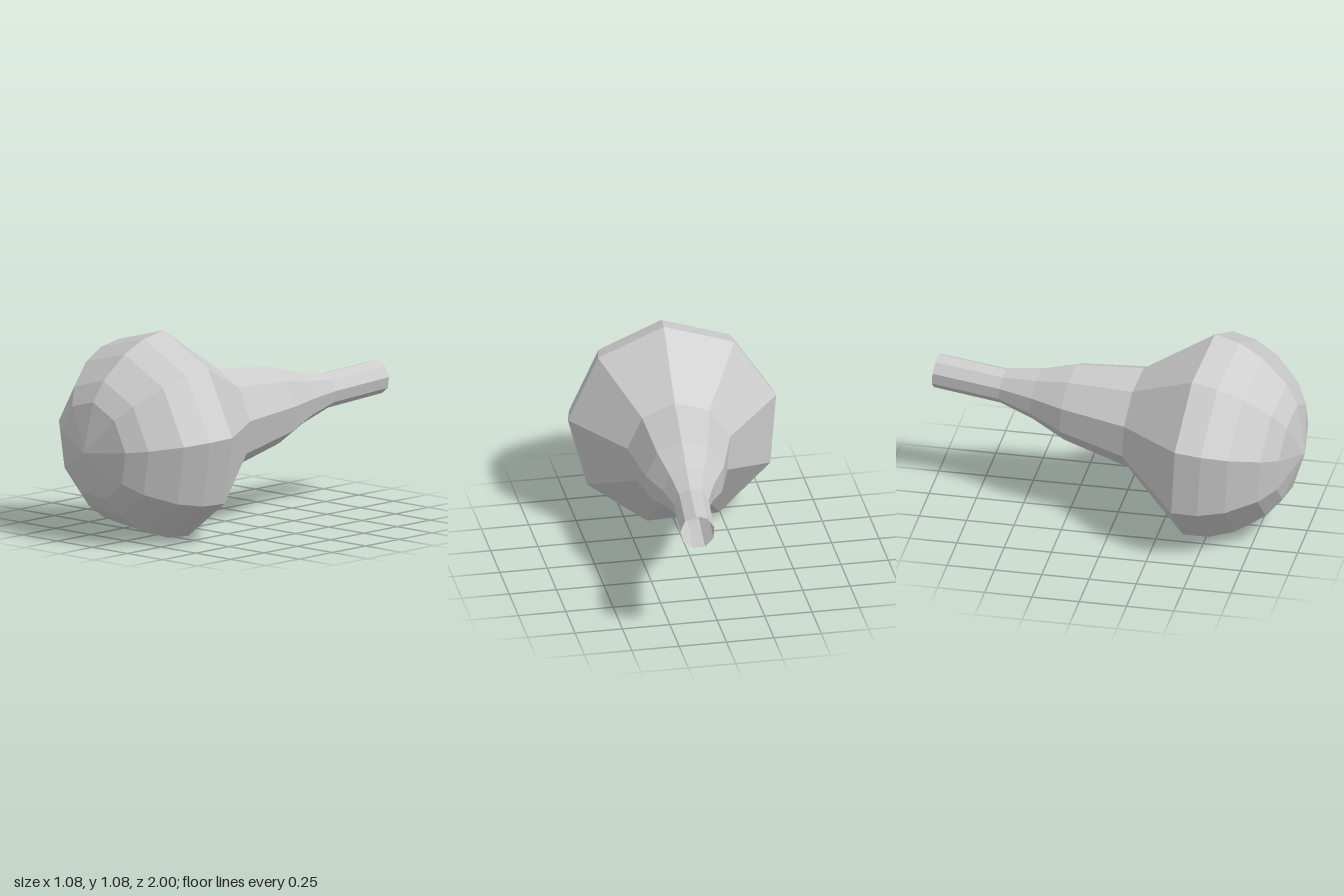
import * as THREE from 'three';

export function createModel() {
  const group = new THREE.Group();
  group.name = 'bulbWithNeck';

  // Profile from the closed rounded tip to the open neck: [radius, distance along axis]
  const profile = [
    [0, 0], [0.261, 0.068], [0.363, 0.139], [0.478, 0.283], [0.534, 0.414], [0.552, 0.55],
    [0.273, 0.908], [0.207, 1.271], [0.138, 1.453], [0.092, 1.64], [0.09, 2.006],
  ].map(([r, s]) => new THREE.Vector2(r, s));

  const geometry = new THREE.LatheGeometry(profile, 9, THREE.MathUtils.degToRad(4.5));
  const material = new THREE.MeshStandardMaterial({
    color: 0xcccccc, flatShading: true, side: THREE.DoubleSide,
  });
  const bulb = new THREE.Mesh(geometry, material);
  bulb.name = 'bulb';

  // Lay the axis from the front tip to the slightly raised, sideways neck end
  const tip = new THREE.Vector3(-0.065, 0.49, 1.0);
  const axis = new THREE.Vector3(0.15, 0.65, -0.988).sub(tip).normalize();
  const side = new THREE.Vector3(1, 0, 0).addScaledVector(axis, -axis.x).normalize();
  const up = new THREE.Vector3().crossVectors(side, axis);
  bulb.quaternion.setFromRotationMatrix(new THREE.Matrix4().makeBasis(side, axis, up));
  bulb.position.copy(tip);

  group.add(bulb);
  return group;
}
